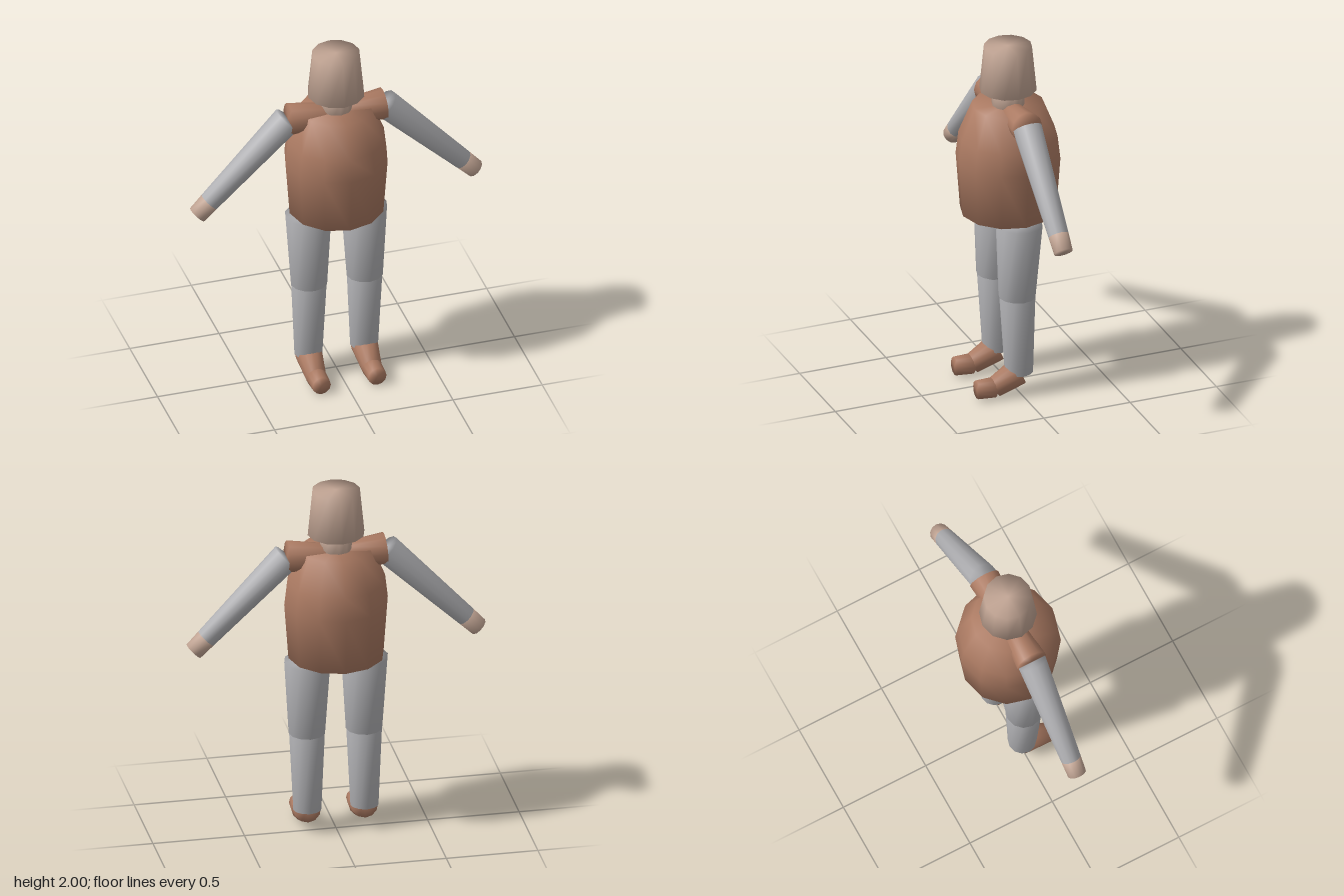
import * as THREE from 'three';
import { mergeVertices } from 'three/addons/utils/BufferGeometryUtils.js';

const SIDES = 12;
const material = (name, color) => {
  const m = new THREE.MeshStandardMaterial({ color });
  m.name = name;
  return m;
};

// Weld caps to walls so the shading rolls smoothly over the rims.
function weld(geometry) {
  geometry.deleteAttribute('normal');
  geometry.deleteAttribute('uv');
  const welded = mergeVertices(geometry);
  welded.computeVertexNormals();
  return welded;
}

// Tapered limb segment from point a (radius ra) to point b (radius rb).
function segment(name, mat, a, ra, b, rb) {
  const start = new THREE.Vector3(...a);
  const end = new THREE.Vector3(...b);
  const axis = end.clone().sub(start);
  const mesh = new THREE.Mesh(weld(new THREE.CylinderGeometry(rb, ra, axis.length(), SIDES)), mat);
  mesh.position.copy(start).add(end).multiplyScalar(0.5);
  mesh.quaternion.setFromUnitVectors(new THREE.Vector3(0, 1, 0), axis.normalize());
  mesh.name = name;
  return mesh;
}

export function createModel() {
  const skin = material('skin', 0xc2a594);
  const brown = material('brown cloth', 0xab7a62);
  const grey = material('grey cloth', 0xb0b0b3);
  const model = new THREE.Group();
  model.name = 'figure';

  // Barrel-shaped torso
  const profile = [[0, 1.03], [0.26, 1.03], [0.283, 1.345], [0.268, 1.475], [0.195, 1.655], [0, 1.655]];
  const torso = new THREE.Mesh(
    weld(new THREE.LatheGeometry(profile.map(([r, y]) => new THREE.Vector2(r, y)), SIDES)), brown);
  torso.name = 'torso';
  model.add(torso);

  // Neck and head
  model.add(
    segment('neck', skin, [0, 1.62, 0], 0.088, [0, 1.748, 0], 0.088),
    segment('head', skin, [0, 1.745, 0], 0.155, [0, 2, 0], 0.13));

  for (const [side, s] of [['left', 1], ['right', -1]]) {
    // Arm: shoulder, sleeve and hand
    const arm = new THREE.Group();
    arm.name = side + 'Arm';
    arm.add(
      segment('shoulder', brown, [s * 0.04, 1.615, 0], 0.066, [s * 0.268, 1.63, 0], 0.087),
      segment('sleeve', grey, [s * 0.273, 1.628, 0], 0.08, [s * 0.71, 1.188, 0], 0.056),
      segment('hand', skin, [s * 0.71, 1.188, 0], 0.056, [s * 0.778, 1.119, 0], 0.052));

    // Leg: thigh, shin, foot and toe
    const leg = new THREE.Group();
    const x = s * 0.156;
    leg.name = side + 'Leg';
    leg.add(
      segment('thigh', grey, [x, 1.007, 0], 0.127, [x, 0.58, 0.013], 0.1),
      segment('shin', grey, [x, 0.585, 0.011], 0.098, [x, 0.13, 0.002], 0.077),
      segment('foot', brown, [x, 0.128, 0.007], 0.075, [x, 0.058, 0.145], 0.056),
      segment('toe', brown, [x, 0.06, 0.145], 0.056, [x, 0.062, 0.245], 0.051));
    model.add(arm, leg);
  }
  return model;
}
